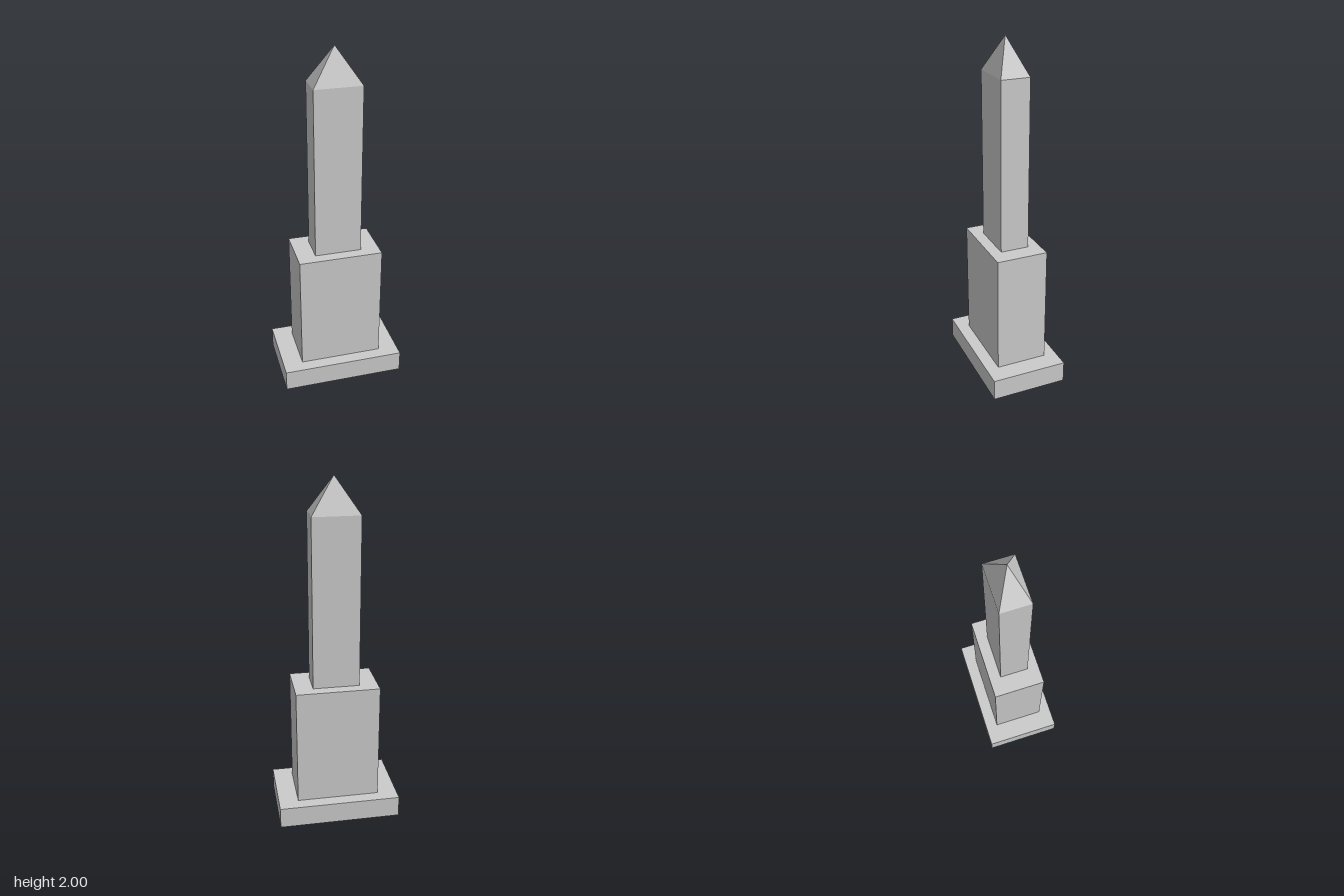
import * as THREE from 'three';

const material = new THREE.MeshStandardMaterial({ color: 0xcccccc, flatShading: true });

// Adds a named mesh centred between two heights
function addPart(group, name, geometry, y0, y1) {
  const mesh = new THREE.Mesh(geometry, material);
  mesh.name = name;
  mesh.position.y = (y0 + y1) / 2;
  group.add(mesh);
}

export function createModel() {
  const group = new THREE.Group();
  group.name = 'obelisk';

  // Stacked blocks: name, width, depth, bottom, top
  const blocks = [
    ['base', 0.714, 0.446, 0, 0.125],
    ['pedestal', 0.484, 0.3, 0.125, 0.82],
    ['shaft', 0.27, 0.167, 0.82, 1.8],
  ];
  for (const [name, w, d, y0, y1] of blocks) {
    addPart(group, name, new THREE.BoxGeometry(w, y1 - y0, d), y0, y1);
  }

  // Pyramid cap: a four-sided cone with a unit-square foot, stretched to the shaft
  const cap = new THREE.ConeGeometry(Math.SQRT1_2, 1, 4, 1, true);
  cap.rotateY(Math.PI / 4);
  cap.scale(0.27, 0.2, 0.167);
  addPart(group, 'cap', cap, 1.8, 2);

  return group;
}
